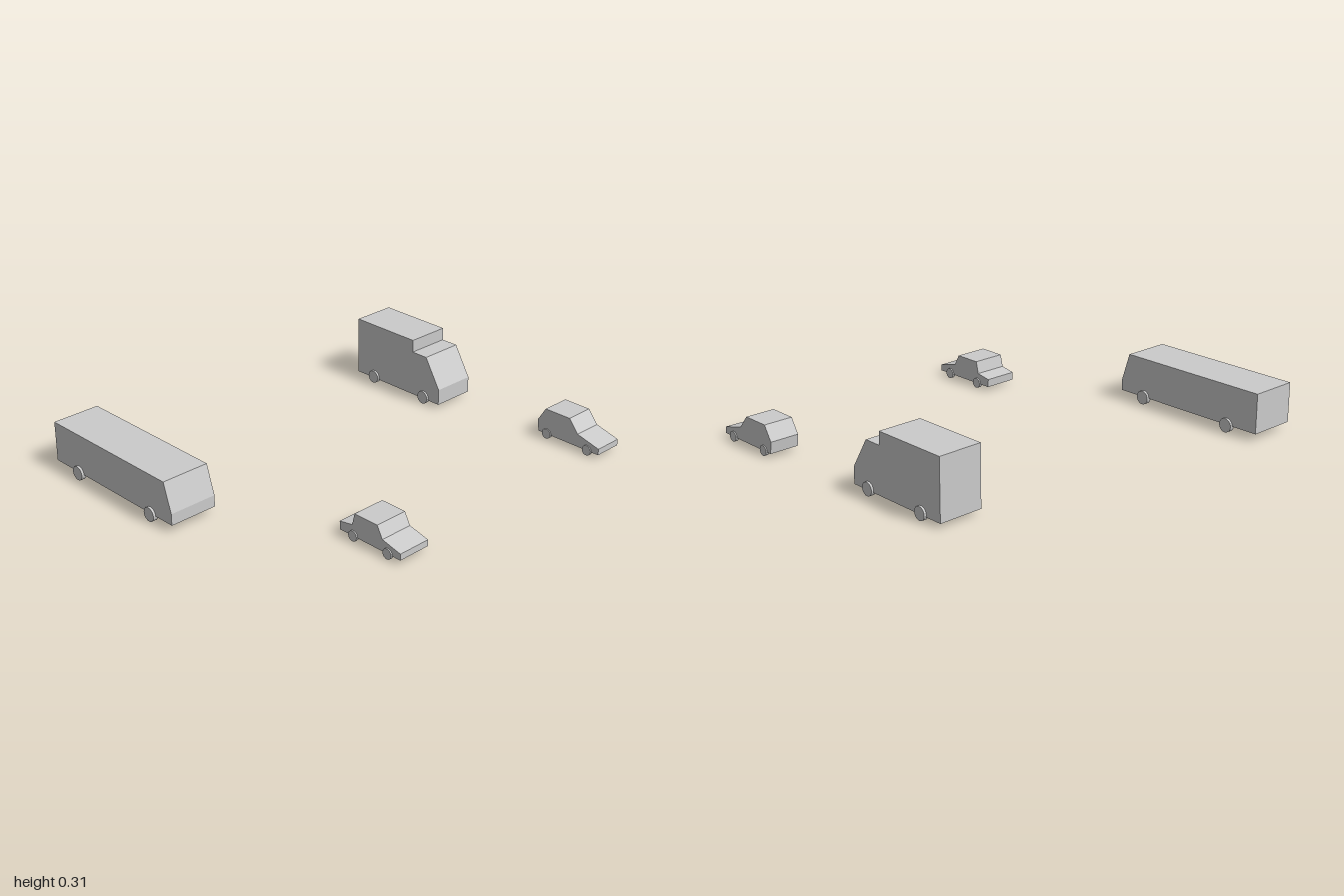
import * as THREE from 'three';

const material = new THREE.MeshStandardMaterial({ color: 0xcccccc, flatShading: true });

// Side profiles run [x, y]; every vehicle faces +x.
const vehicles = [
  {
    name: 'bus', z: [0.748, 0.987], wheelX: [-0.68, -0.161], radius: 0.034, tyre: 0.024, overhang: 0.012,
    profile: [[-0.85, 0.034], [-0.016, 0.034], [-0.016, 0.09], [-0.06, 0.229], [-0.85, 0.229]],
  },
  {
    name: 'truck', z: [-0.93, -0.71], wheelX: [-0.478, -0.136], radius: 0.032, tyre: 0.022, overhang: 0.011,
    profile: [[-0.597, 0.022], [-0.037, 0.022], [-0.037, 0.102], [-0.126, 0.25], [-0.216, 0.25],
      [-0.216, 0.313], [-0.597, 0.313]],
  },
  {
    name: 'hatchback', z: [-0.994, -0.847], wheelX: [0.538, 0.777], radius: 0.025, tyre: 0.016, overhang: 0.006,
    profile: [[0.487, 0.022], [0.842, 0.022], [0.842, 0.053], [0.718, 0.086], [0.665, 0.15],
      [0.523, 0.15], [0.48, 0.08]],
  },
  {
    name: 'sedan', z: [0.314, 0.48], wheelX: [0.57, 0.773], radius: 0.025, tyre: 0.016, overhang: 0.007,
    profile: [[0.49, 0.022], [0.844, 0.022], [0.844, 0.053], [0.74, 0.078], [0.709, 0.134],
      [0.576, 0.134], [0.562, 0.075], [0.487, 0.062]],
  },
];

function buildVehicle({ name, z: [zMin, zMax], wheelX, radius, tyre, overhang, profile }) {
  const group = new THREE.Group();
  group.name = name;

  // Body: side profile extruded across the width
  const shape = new THREE.Shape(profile.map(([x, y]) => new THREE.Vector2(x, y)));
  const body = new THREE.Mesh(
    new THREE.ExtrudeGeometry(shape, { depth: zMax - zMin, bevelEnabled: false }), material);
  body.name = name + 'Body';
  body.position.z = zMin;
  group.add(body);

  // Wheels: thin discs standing slightly proud of each side
  const wheelGeometry = new THREE.CylinderGeometry(radius, radius, tyre, 20).rotateX(Math.PI / 2);
  const inset = tyre / 2 - overhang;
  wheelX.forEach((x, i) => {
    [zMin + inset, zMax - inset].forEach((z, side) => {
      const wheel = new THREE.Mesh(wheelGeometry, material);
      wheel.name = (i ? 'front' : 'rear') + (side ? 'Right' : 'Left') + 'Wheel';
      wheel.position.set(x, radius, z);
      group.add(wheel);
    });
  });
  return group;
}

export function createModel() {
  const model = new THREE.Group();
  model.name = 'vehicleSet';
  vehicles.forEach((v) => model.add(buildVehicle(v)));
  return model;
}
